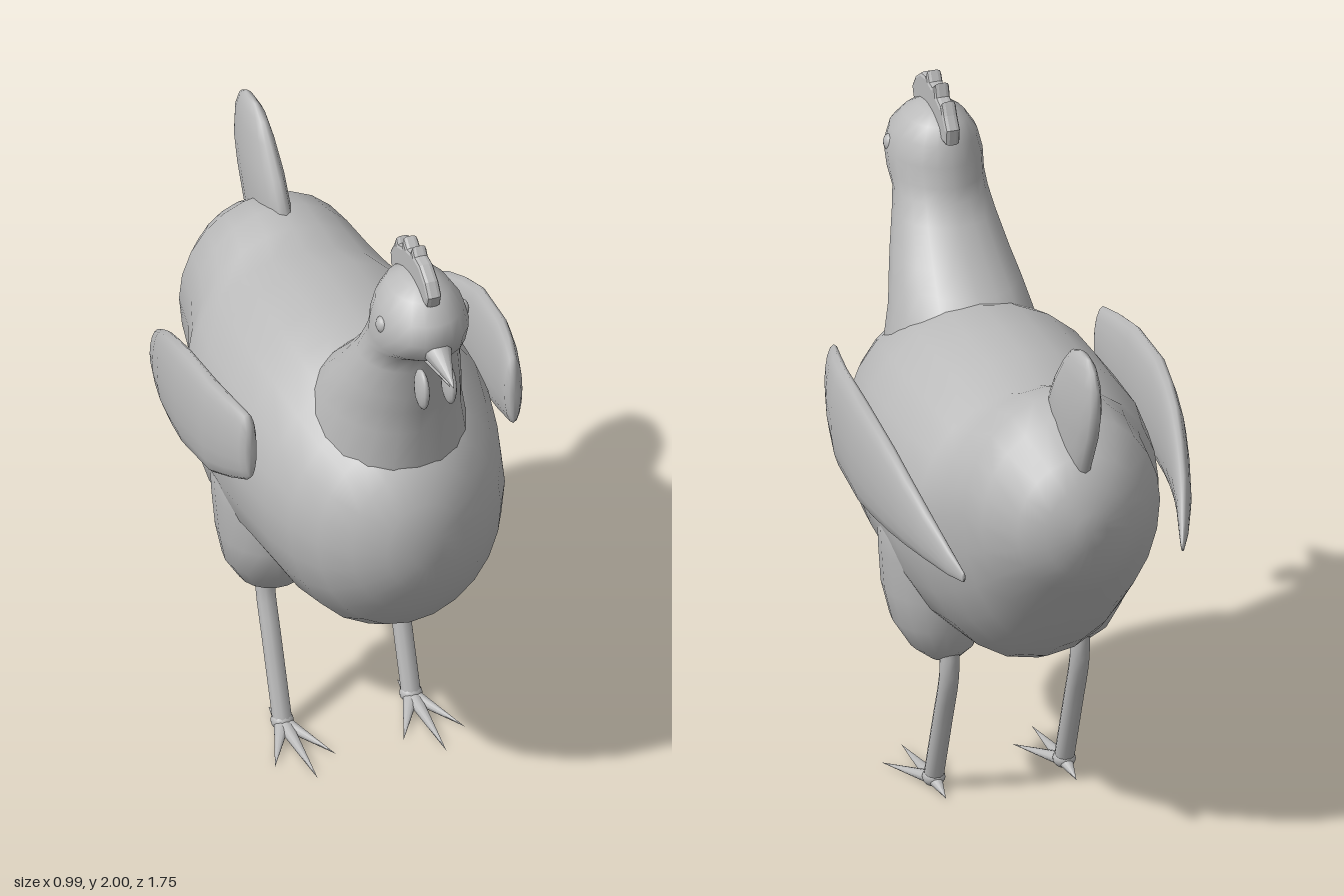
import * as THREE from 'three';

const grey = new THREE.MeshStandardMaterial({ color: 0xbababa });
grey.name = 'plainGrey';

// Loft of oval rings along z. Row: [z, top, bottom, halfWidth, xCentre, yOfWidest]
function loft(rows, n = 20) {
  const pos = [], idx = [];
  const sorted = [...rows].sort((a, b) => a[0] - b[0]);
  for (const [t, hi, lo, w, x = 0, mid = (hi + lo) / 2] of sorted) {
    for (let j = 0; j < n; j++) {
      const a = (j / n) * Math.PI * 2, s = Math.sin(a);
      pos.push(x + w * Math.cos(a), mid + s * (s > 0 ? hi - mid : mid - lo), t);
    }
  }
  const m = sorted.length;
  for (let i = 0; i < m - 1; i++) {
    for (let j = 0; j < n; j++) {
      const k = (j + 1) % n, a = i * n + j, b = i * n + k;
      idx.push(a, b, b + n, a, b + n, a + n);
    }
  }
  // end caps
  for (const i of [0, m - 1]) {
    const [t, hi, lo, , x = 0] = sorted[i], c = pos.length / 3;
    pos.push(x, (hi + lo) / 2, t);
    for (let j = 0; j < n; j++) {
      const a = i * n + j, b = i * n + (j + 1) % n;
      if (i === 0) idx.push(c, b, a); else idx.push(c, a, b);
    }
  }
  const g = new THREE.BufferGeometry();
  g.setAttribute('position', new THREE.Float32BufferAttribute(pos, 3));
  g.setIndex(idx);
  g.computeVertexNormals();
  return g;
}

// Upright loft. Row: [y, zBack, zFront, halfWidth, xCentre]
function uprightLoft(rows, n) {
  return loft(rows.map(([y, b, f, w, x]) => [y, -b, -f, w, x]), n).rotateX(-Math.PI / 2);
}

// Tapered spike between two points
function spike(from, to, radius, flat = 1) {
  const a = new THREE.Vector3(...from), d = new THREE.Vector3(...to).sub(a);
  const g = new THREE.ConeGeometry(radius, d.length(), 10).translate(0, d.length() / 2, 0);
  g.scale(1, 1, flat).rotateX(Math.PI / 2);
  g.lookAt(d);
  return g.translate(...from);
}

function ball(r, x, y, z, sx = 1, sy = 1, sz = 1) {
  return new THREE.SphereGeometry(r, 16, 12).scale(sx, sy, sz).translate(x, y, z);
}

export function createModel() {
  const model = new THREE.Group();
  model.name = 'hen';
  const add = (name, geometry, parent = model) => {
    const mesh = new THREE.Mesh(geometry, grey);
    mesh.name = name;
    parent.add(mesh);
  };

  // Trunk from rump to breast
  add('body', loft([
    [-0.815, 1.19, 1.08, 0.05], [-0.79, 1.27, 0.98, 0.13], [-0.74, 1.34, 0.91, 0.2],
    [-0.63, 1.42, 0.76, 0.275, 0, 1.12], [-0.52, 1.445, 0.64, 0.29, 0, 1.1],
    [-0.42, 1.43, 0.57, 0.325, 0, 1.06], [-0.34, 1.4, 0.53, 0.37, 0, 1.04],
    [-0.2, 1.44, 0.52, 0.4, 0, 1.02], [0, 1.44, 0.54, 0.405, 0, 1.02],
    [0.15, 1.44, 0.575, 0.4, 0, 1.02], [0.3, 1.4, 0.56, 0.37, 0, 1], [0.42, 1.35, 0.58, 0.335, 0, 0.99],
    [0.52, 1.3, 0.64, 0.285, 0, 0.98], [0.6, 1.23, 0.74, 0.21, 0, 0.98],
    [0.65, 1.13, 0.84, 0.12], [0.665, 1.05, 0.92, 0.05],
  ], 24));

  // Neck flowing into the head
  add('neckAndHead', uprightLoft([
    [1.05, -0.05, 0.58, 0.26], [1.24, 0.02, 0.6, 0.235], [1.36, 0.1, 0.61, 0.205],
    [1.44, 0.19, 0.625, 0.188], [1.5, 0.26, 0.64, 0.173], [1.6, 0.36, 0.655, 0.15],
    [1.66, 0.395, 0.68, 0.138], [1.7, 0.41, 0.75, 0.138], [1.76, 0.425, 0.775, 0.14],
    [1.82, 0.44, 0.758, 0.124], [1.87, 0.47, 0.705, 0.09], [1.895, 0.52, 0.66, 0.05],
    [1.905, 0.56, 0.62, 0.02],
  ]));

  // Comb with small points
  const comb = new THREE.Shape();
  [[0.71, 1.87], [0.72, 1.9], [0.695, 1.935], [0.65, 1.965], [0.61, 1.97], [0.595, 1.99], [0.58, 1.965],
    [0.55, 1.96], [0.525, 1.98], [0.515, 1.945], [0.475, 1.93], [0.465, 1.945], [0.45, 1.915],
    [0.425, 1.88], [0.43, 1.84], [0.5, 1.84], [0.6, 1.86]]
    .forEach(([z, y], i) => (i ? comb.lineTo(z, y) : comb.moveTo(z, y)));
  add('comb', new THREE.ExtrudeGeometry(comb, {
    depth: 0.02, bevelThickness: 0.013, bevelSize: 0.01, bevelOffset: -0.003, bevelSegments: 2,
  }).translate(0, 0, -0.01).rotateY(-Math.PI / 2));

  // Beak halves
  add('upperBeak', spike([0, 1.73, 0.74], [0, 1.68, 0.88], 0.045));
  add('lowerBeak', spike([0, 1.68, 0.71], [0, 1.665, 0.85], 0.028, 0.7));

  // Flat upright tail
  add('tail', uprightLoft([
    [1.22, -0.52, -0.7, 0.03], [1.31, -0.48, -0.775, 0.042], [1.44, -0.475, -0.845, 0.046],
    [1.52, -0.53, -0.868, 0.045], [1.6, -0.6, -0.865, 0.036], [1.65, -0.655, -0.84, 0.025],
    [1.675, -0.72, -0.8, 0.01],
  ].map(([y, f, b, w]) => [y, b, f, w]), 16));

  for (const s of [1, -1]) {
    const side = s > 0 ? 'left' : 'right';
    const part = (name, g) => add(side + name, g);

    part('Eye', ball(0.026, s * 0.125, 1.775, 0.625, 0.7));
    part('Wattle', ball(0.065, s * 0.042, 1.595, 0.73, 0.27, 1, 0.72));

    // Wing curving back to a narrow tip
    part('Wing', loft([
      [0.305, 1.29, 1.11, 0.018, s * 0.41], [0.285, 1.32, 1.09, 0.028, s * 0.413],
      [0.2, 1.33, 1.05, 0.034, s * 0.432], [0.1, 1.335, 1.01, 0.037, s * 0.448],
      [-0.1, 1.32, 0.985, 0.038, s * 0.455], [-0.2, 1.29, 0.98, 0.036, s * 0.448],
      [-0.3, 1.25, 0.975, 0.034, s * 0.436], [-0.4, 1.19, 0.97, 0.029, s * 0.417],
      [-0.5, 1.12, 0.965, 0.024, s * 0.392], [-0.6, 1.035, 0.955, 0.015, s * 0.358],
      [-0.655, 0.985, 0.955, 0.006, s * 0.336],
    ], 16));

    // Thigh bulging from the body
    part('Thigh', uprightLoft([
      [0.46, -0.13, -0.05, 0.045, s * 0.2], [0.5, -0.175, 0.02, 0.095, s * 0.205],
      [0.58, -0.21, 0.09, 0.135, s * 0.215], [0.68, -0.22, 0.12, 0.14, s * 0.232],
      [0.8, -0.21, 0.1, 0.12, s * 0.262], [0.95, -0.17, 0.05, 0.07, s * 0.32],
    ], 18));

    // Shank
    const path = new THREE.CatmullRomCurve3([
      [0.2, 0.52, -0.13], [0.2, 0.42, -0.13], [0.2, 0.25, -0.07], [0.2, 0.035, 0.01],
    ].map(([x, y, z]) => new THREE.Vector3(s * x, y, z)));
    part('Leg', new THREE.TubeGeometry(path, 10, 0.03, 10));

    // Foot with three front toes and a short hind toe
    const foot = new THREE.Group();
    foot.name = side + 'Foot';
    model.add(foot);
    add('ankle', ball(0.034, s * 0.2, 0.03, 0.01, 1, 0.85, 1), foot);
    [[0.2, 0.3], [0.105, 0.2], [0.295, 0.2], [0.2, -0.1]].forEach(([x, z], i) =>
      add('toe' + (i + 1), spike([s * 0.2, 0.025, 0.01], [s * x, 0.006, z], 0.025, 0.8), foot));
  }
  return model;
}
